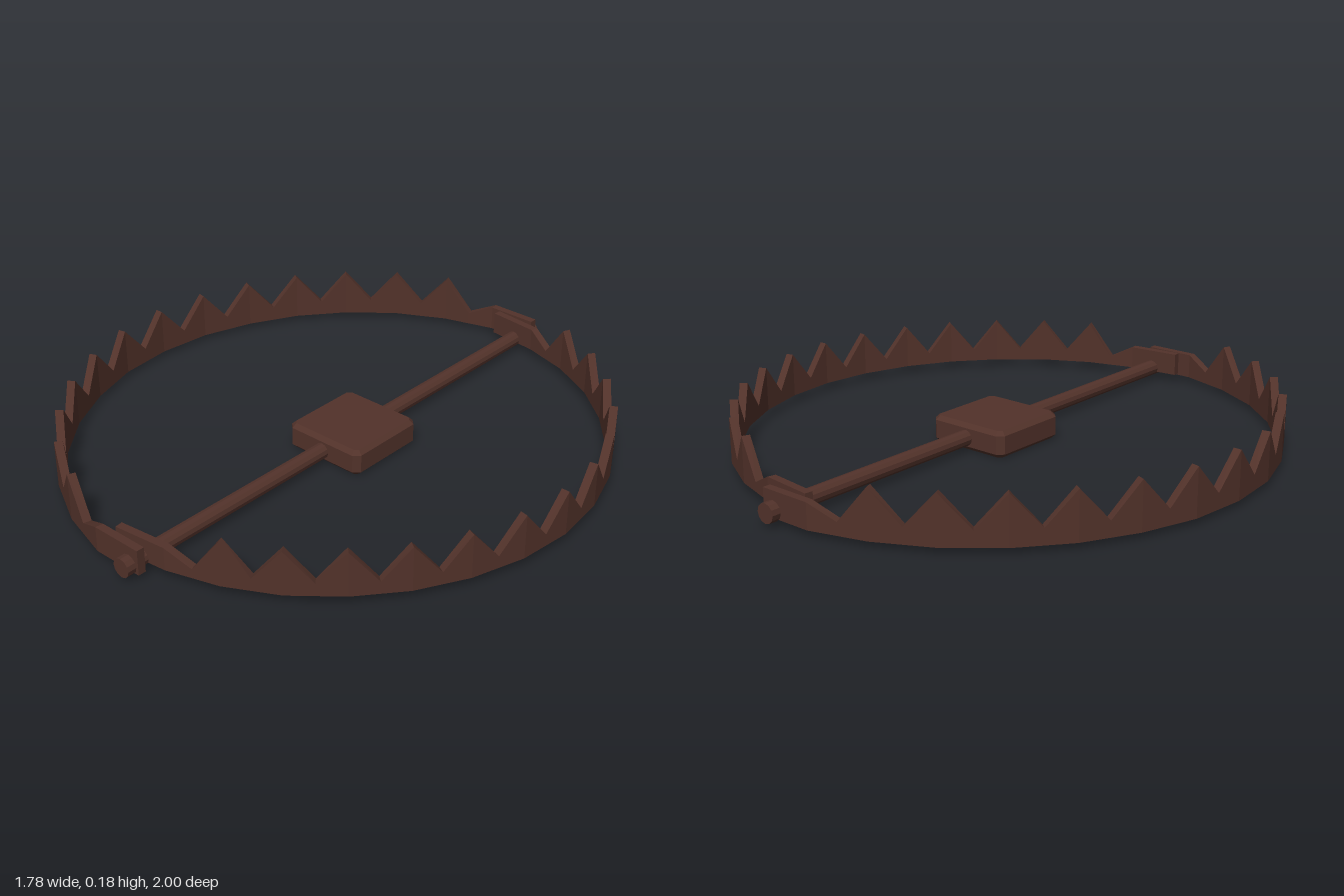
import * as THREE from 'three';

const iron = new THREE.MeshStandardMaterial({ color: 0x52322a, roughness: 0.8, flatShading: true });

// Toothed band: follows the outer [x, z] corners, a tooth on each inner corner, a valley on each mid-segment
function jawGeometry(half, bottom, lug, thickness) {
  const corners = [...half, ...half.slice(0, -1).reverse().map(([x, z]) => [x, -z])]
    .map(([x, z]) => new THREE.Vector2(x, z));
  const n = corners.length;
  const normalOf = i => {
    const d = corners[i + 1].clone().sub(corners[i]).normalize();
    const p = new THREE.Vector2(-d.y, d.x);
    const mid = corners[i].clone().add(corners[i + 1]).multiplyScalar(0.5);
    return p.dot(mid) > 0 ? p.negate() : p; // points to the centre
  };
  const stations = [];
  const add = (p, normal, top) => {
    const q = p.clone().addScaledVector(normal, thickness);
    stations.push([[p.x, bottom, p.y], [p.x, top, p.y], [q.x, top, q.y], [q.x, bottom, q.y]]);
  };
  for (let i = 0; i < n; i++) {
    const a = normalOf(Math.max(i - 1, 0)), b = normalOf(Math.min(i, n - 2));
    const isLug = i < 2 || i > n - 3;
    add(corners[i], a.clone().add(b).normalize(), isLug ? lug : 0.18);
    if (i > 0 && i < n - 2) {
      add(corners[i].clone().lerp(corners[i + 1], 0.5), b, i === 1 || i === n - 3 ? 0.062 : 0.072);
    }
  }
  const pos = [];
  const flip = half[half.length - 1][0] > 0;
  const quad = (a, b, c, d) => pos.push(...(flip ? [a, c, b, a, d, c] : [a, b, c, a, c, d]).flat());
  for (let i = 0; i < stations.length - 1; i++) {
    const s = stations[i], t = stations[i + 1];
    for (let k = 0; k < 4; k++) quad(s[k], t[k], t[(k + 1) % 4], s[(k + 1) % 4]);
  }
  quad(...stations[0]);
  quad(...stations[stations.length - 1].slice().reverse());
  const g = new THREE.BufferGeometry();
  g.setAttribute('position', new THREE.Float32BufferAttribute(pos, 3));
  g.computeVertexNormals();
  return g;
}

export function createModel() {
  const group = new THREE.Group();
  const add = (name, geometry, x = 0, y = 0, z = 0) => {
    const mesh = new THREE.Mesh(geometry, iron);
    mesh.name = name;
    mesh.position.set(x, y, z);
    group.add(mesh);
    return mesh;
  };

  // Two half-ring jaws, the right one pivoting outside the left one
  add('rightJaw', jawGeometry([[0.09, -0.97], [-0.09, -0.97], [-0.275, -0.915], [-0.45, -0.823],
    [-0.6, -0.698], [-0.722, -0.548], [-0.812, -0.378], [-0.872, -0.195], [-0.891, 0]], 0.02, 0.105, 0.027));
  add('leftJaw', jawGeometry([[-0.045, -0.932], [0.137, -0.912], [0.308, -0.86], [0.47, -0.773],
    [0.61, -0.655], [0.727, -0.515], [0.814, -0.357], [0.87, -0.182], [0.89, 0]], 0.03, 0.108, 0.027));

  // Pivot rod with a pin head at each end
  add('pivotRod', new THREE.CylinderGeometry(0.027, 0.027, 1.96, 12).rotateX(Math.PI / 2), 0.05, 0.043, 0);
  for (const side of [-1, 1]) {
    add(side > 0 ? 'frontPinHead' : 'backPinHead',
      new THREE.CylinderGeometry(0.032, 0.032, 0.03, 12).rotateX(Math.PI / 2), 0.05, 0.043, side * 0.985);
  }

  // Trigger plate with chamfered corners and edges
  const bevel = 0.014, h = 0.15 - bevel, c = 0.012;
  const outline = new THREE.Shape([[-h + c, -h], [h - c, -h], [h, -h + c], [h, h - c],
    [h - c, h], [-h + c, h], [-h, h - c], [-h, -h + c]].map(([x, y]) => new THREE.Vector2(x, y)));
  const plate = new THREE.ExtrudeGeometry(outline, {
    depth: 0.09 - 2 * bevel, bevelEnabled: true, bevelThickness: bevel, bevelSize: bevel, bevelSegments: 1,
  });
  plate.rotateX(-Math.PI / 2);
  add('triggerPlate', plate, 0.05, bevel, 0);

  return group;
}
